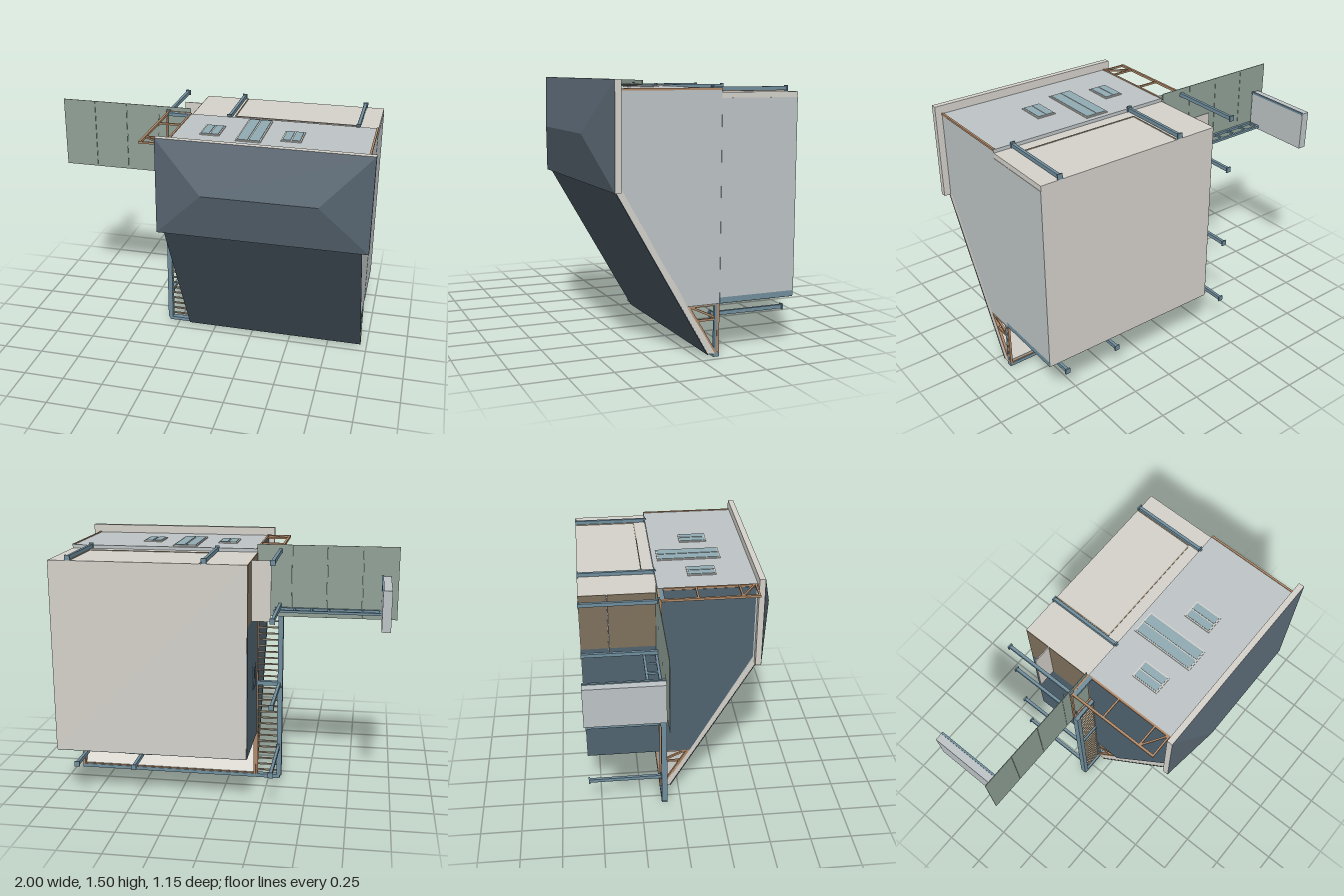
import * as THREE from 'three';

const COL = {
  siding: 0xbcc2c4, concrete: 0xd3d0c9, slate: 0x56646f, darkSlate: 0x43515b, steel: 0x6f8d9c,
  timber: 0xb08968, tan: 0xa89a84, umber: 0x7d6f5c, blueWall: 0x4e626e, glass: 0x8fa9b1, green: 0x8f9f95,
};
const mats = {};
const mat = (c) => (mats[c] ??= new THREE.MeshStandardMaterial({ color: COL[c], flatShading: true, side: THREE.DoubleSide }));

export function createModel() {
  const root = new THREE.Group();

  const add = (name, geo, c) => {
    const m = new THREE.Mesh(geo, mat(c));
    m.name = name;
    root.add(m);
    return m;
  };
  // box from its two extremes on each axis
  const box = (name, c, x0, x1, y0, y1, z0, z1) => {
    const g = new THREE.BoxGeometry(x1 - x0, y1 - y0, z1 - z0);
    g.translate((x0 + x1) / 2, (y0 + y1) / 2, (z0 + z1) / 2);
    return add(name, g, c);
  };
  // side profile given as [z, y] points, extruded along x
  const prism = (name, c, pts, x0, x1) => {
    const s = new THREE.Shape(pts.map(([z, y]) => new THREE.Vector2(-z, y)));
    const g = new THREE.ExtrudeGeometry(s, { depth: x1 - x0, bevelEnabled: false });
    g.rotateY(Math.PI / 2);
    g.translate(x0, 0, 0);
    return add(name, g, c);
  };
  // square bar between two points
  const bar = (name, c, a, b, w = 0.014) => {
    const p = new THREE.Vector3(...a), q = new THREE.Vector3(...b);
    const m = add(name, new THREE.BoxGeometry(w, w, p.distanceTo(q)), c);
    m.position.copy(p).lerp(q, 0.5);
    m.lookAt(q);
    return m;
  };

  // main volumes
  prism('upperBody', 'siding', [[0.46, 1.45], [-0.12, 1.45], [-0.12, 0.3], [0.075, 0.3], [0.46, 0.97]], -0.17, 0.96);
  box('foundation', 'concrete', -0.17, 0.96, 0.3, 1.43, -0.575, -0.12);
  box('foundationFlank', 'siding', 0.958, 0.962, 0.33, 1.4, -0.575, -0.12);
  box('foundationFlankSill', 'steel', 0.958, 0.962, 0.3, 0.33, -0.57, -0.12);

  // wall cladding on the deck side and the underside
  box('sideWall', 'blueWall', -0.174, -0.17, 0.3, 1.08, -0.572, -0.12);
  box('sideWallTop', 'umber', -0.174, -0.17, 1.08, 1.43, -0.572, -0.12);
  prism('upperSideWall', 'blueWall', [[0.45, 1.44], [-0.12, 1.44], [-0.12, 0.3], [0.075, 0.3], [0.45, 0.97]], -0.174, -0.17);
  box('underWall', 'blueWall', -0.17, 0.96, 0.296, 0.3, -0.572, 0.07);
  box('underDoor', 'tan', 0.38, 0.55, 0.291, 0.297, -0.565, -0.22);
  box('underWindowFrame', 'concrete', 0.04, 0.16, 0.29, 0.297, -0.33, -0.23);
  box('underWindowGlass', 'blueWall', 0.05, 0.15, 0.288, 0.297, -0.32, -0.24);
  box('sideWindowFrame', 'steel', -0.181, -0.172, 0.65, 0.79, -0.35, -0.25);
  box('sideWindowGlass', 'blueWall', -0.183, -0.172, 0.665, 0.775, -0.335, -0.265);

  // hipped roof with its rim
  box('roofRim', 'concrete', -0.21, 1.0, 0.93, 1.5, 0.46, 0.495);
  const hip = new THREE.BufferGeometry();
  hip.setAttribute('position', new THREE.Float32BufferAttribute([
    -0.21, 0.93, 0.495, 1, 0.93, 0.495, 1, 1.5, 0.495, -0.21, 1.5, 0.495, 0.07, 1.215, 0.58, 0.72, 1.215, 0.58], 3));
  hip.setIndex([0, 1, 5, 0, 5, 4, 1, 2, 5, 2, 3, 4, 2, 4, 5, 3, 0, 4]);
  const hipFlat = hip.toNonIndexed();
  hipFlat.computeVertexNormals();
  add('hippedRoof', hipFlat, 'slate');

  // long sloping roof
  prism('slopeSlab', 'concrete', [[0.475, 0.93], [-0.055, 0.02], [-0.095, 0.02], [0.46, 0.97]], -0.17, 0.96);
  prism('slopeCovering', 'darkSlate', [[0.48, 0.93], [-0.05, 0.018], [-0.055, 0.018], [0.475, 0.93]], -0.172, 0.962);

  // windows in the top wall
  for (const [x0, x1, z0, z1] of [[0.2, 0.345, -0.09, 0.295], [-0.02, 0.095, 0.07, 0.24], [0.45, 0.565, 0.07, 0.24]]) {
    box('windowFrame', 'concrete', x0, x1, 1.445, 1.456, z0, z1);
    const mid = (x0 + x1) / 2;
    for (const [a, b] of [[x0 + 0.008, mid - 0.004], [mid + 0.004, x1 - 0.008]])
      box('windowPane', 'glass', a, b, 1.45, 1.459, z0 + 0.008, z1 - 0.008);
  }
  // timber trim and raised outline on the top wall
  for (const x of [-0.17, 0.957]) bar('edgeTrim', 'timber', [x, 1.448, -0.12], [x, 1.448, 0.46], 0.012);
  box('foundationBand', 'tan', 0.09, 0.83, 1.43, 1.434, -0.196, -0.19);
  for (const x of [0.09, 0.83]) box('foundationBand', 'tan', x, x + 0.006, 1.43, 1.434, -0.57, -0.19);

  // steel posts with foot plates
  for (const [x, y] of [[0.07, 1.445], [0.845, 1.445], [-0.31, 1.445], [-0.31, 1.12], [-0.31, 0.62], [-0.31, 0.21], [0.5, 0.21], [0.845, 0.21]]) {
    box('post', 'steel', x - 0.009, x + 0.009, y - 0.011, y + 0.011, -0.57, -0.11);
    box('postFoot', 'steel', x - 0.015, x + 0.015, y - 0.016, y + 0.016, -0.575, -0.567);
    box('postHead', 'steel', x - 0.013, x + 0.013, y - 0.02, y + 0.02, -0.125, -0.117);
  }

  // slatted side deck
  box('deckBeam', 'steel', -0.33, -0.3, 0.02, 1.1, -0.12, -0.085);
  box('deckEndBeam', 'steel', -0.32, 0.96, 0.002, 0.024, -0.12, -0.085);
  box('deckMidBeam', 'steel', -0.32, -0.17, 0.61, 0.635, -0.12, -0.09);
  box('deckTopBeam', 'steel', -0.32, -0.17, 1.08, 1.1, -0.12, -0.09);
  box('deckInnerBeam', 'timber', -0.182, -0.17, 0.02, 1.1, -0.12, -0.1);
  for (let y = 0.045; y < 1.08; y += 0.0385) box('deckSlat', 'tan', -0.31, -0.17, y, y + 0.008, -0.108, -0.096);

  // timber frame above the deck
  const fx = -0.31, fy = 1.45;
  bar('sideFrameRail', 'timber', [fx, fy, -0.12], [fx, fy, 0.45]);
  for (const z of [-0.12, 0.1, 0.35, 0.445]) bar('sideFrameCross', 'timber', [fx, fy, z], [-0.17, fy, z], 0.011);
  bar('sideFrameBrace', 'timber', [fx, fy, 0.35], [-0.17, fy, 0.44], 0.01);
  box('sideFrameTie', 'steel', -0.31, -0.17, 1.435, 1.455, -0.115, -0.09);
  // side partition
  box('partition', 'concrete', -0.285, -0.17, 1.08, 1.43, -0.412, -0.406);
  for (const y of [1.105, 1.45]) bar('partitionRail', 'timber', [-0.32, y, -0.115], [-0.17, y, -0.115], 0.01);
  bar('partitionStud', 'timber', [-0.32, 1.1, -0.115], [-0.32, 1.455, -0.115], 0.012);

  // porch framing under the sloping roof
  for (const z of [-0.11, 0.065]) bar('porchBeam', 'timber', [-0.17, 0.295, z], [0.96, 0.295, z]);
  bar('porchLowBeam', 'timber', [-0.17, 0.022, -0.11], [0.96, 0.022, -0.11], 0.012);
  for (let i = 0; i <= 5; i++) {
    const x = -0.162 + i * 0.223;
    bar('porchJoist', 'timber', [x, 0.293, -0.11], [x, 0.293, 0.07], 0.012);
  }
  for (const x of [-0.162, 0.952]) {
    bar('porchPost', 'timber', [x, 0.02, -0.113], [x, 0.3, -0.113]);
    bar('porchSteelPost', 'steel', [x, 0.02, -0.097], [x, 0.3, -0.097], 0.016);
    bar('porchRafter', 'timber', [x, 0.3, 0.068], [x, 0.02, -0.1], 0.016);
    bar('porchTie', 'timber', [x, 0.212, 0.01], [x, 0.212, -0.115], 0.012);
    bar('porchBrace', 'timber', [x, 0.295, 0.06], [x, 0.212, -0.115], 0.012);
  }

  // outlying ground panels
  for (let i = 0; i < 4; i++) box('groundPanel', 'green', -1 + i * 0.2075, -0.7945 + i * 0.2075, 1.05, 1.48, -0.132, -0.128);
  // ladder and end plate
  for (const z of [-0.142, -0.213]) bar('ladderRail', 'steel', [-0.9, 1.1, z], [-0.28, 1.1, z], 0.015);
  for (let x = -0.9; x < -0.28; x += 0.1) bar('ladderRung', 'steel', [x, 1.1, -0.213], [x, 1.1, -0.142], 0.012);
  box('endPlate', 'siding', -0.955, -0.905, 1.08, 1.31, -0.57, -0.14);
  bar('endPlateRail', 'steel', [-0.905, 1.31, -0.57], [-0.905, 1.31, -0.14], 0.012);
  return root;
}
